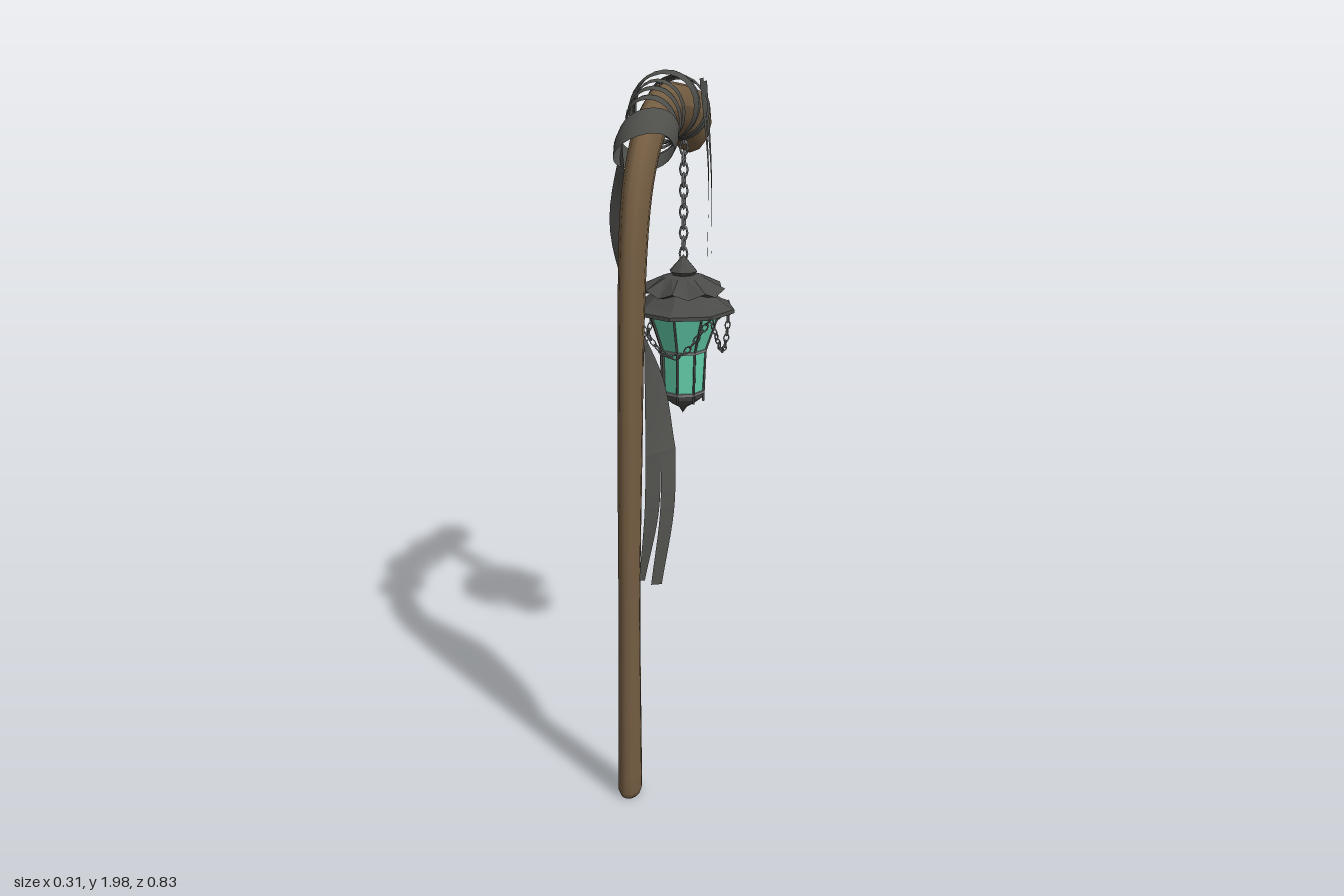
import * as THREE from 'three';
import { mergeGeometries } from 'three/addons/utils/BufferGeometryUtils.js';

const V = (x, y, z) => new THREE.Vector3(x, y, z);
const mat = (name, color, extra = {}) => {
  const m = new THREE.MeshStandardMaterial({ color, ...extra });
  m.name = name;
  return m;
};

// Staff centre line, and its half-widths: x = sideways, y = in the plane of the bend
const axis = new THREE.CatmullRomCurve3([
  V(0, 0, .367), V(0, .3, .365), V(0, .6, .36), V(0, 1, .343), V(0, 1.4, .32), V(0, 1.65, .28),
  V(0, 1.79, .2), V(-.003, 1.862, .09), V(-.006, 1.885, -.03), V(-.01, 1.87, -.16),
  V(-.013, 1.838, -.27), V(-.015, 1.81, -.35), V(-.02, 1.79, -.402)], false, 'catmullrom');
const radii = new THREE.CatmullRomCurve3([
  [.033, .046], [.031, .043], [.029, .04], [.031, .05], [.032, .06], [.036, .063], [.038, .06],
  [.04, .06], [.043, .062], [.05, .067], [.057, .085], [.058, .09], [.036, .05],
].map(([a, b]) => V(a, b, 0)), false, 'catmullrom');

// Point at angle a around the staff axis
function around(u, a, rx, rn) {
  const t = axis.getTangent(u);
  const n = V(0, -t.z, t.y).normalize();
  return axis.getPoint(u).addScaledVector(n, Math.sin(a) * rn).add(V(Math.cos(a) * rx, 0, 0));
}

// Surface through rows of points
function loft(rows) {
  const w = rows[0].length, index = [];
  for (let i = 0; i < rows.length - 1; i++)
    for (let j = 0; j < w - 1; j++) {
      const a = i * w + j, b = a + 1, c = a + w, d = c + 1;
      index.push(a, b, d, a, d, c);
    }
  const g = new THREE.BufferGeometry().setFromPoints(rows.flat());
  g.setIndex(index);
  g.computeVertexNormals();
  return g;
}

function staffGeometry() {
  const rows = [], sides = 12;
  const ring = (u, k) => {
    const r = radii.getPoint(u);
    rows.push(Array.from({ length: sides + 1 }, (_, j) =>
      around(u, -j / sides * Math.PI * 2, r.x * k, r.y * k)));
  };
  ring(0, 0); ring(0, .8); ring(.005, 1);
  for (let i = 1; i <= 48; i++) ring(i / 48, 1);
  ring(1, 0);
  return loft(rows);
}

// Strip of cloth wound round the staff from its underside; from, to and width count axis points
function wrapGeometry({ from, to, turns, width, tilt, rx, rn }) {
  const rows = [], n = Math.round(turns * 24);
  for (let i = 0; i <= n; i++) {
    const k = i / n, a = k * turns * Math.PI * 2 - Math.PI / 2;
    const mid = from + (to - from) * k + tilt * Math.cos(a);
    rows.push([-.5, 0, .5].map(s =>
      around((mid + s * width) / 12, a, rx + (s ? 0 : .005), rn + (s ? 0 : .005))));
  }
  return loft(rows);
}

// Loose strip from stations of [centre, half-width vector]
function ribbonGeometry(stations) {
  const edge = s => new THREE.CatmullRomCurve3(
    stations.map(([c, h]) => V(...c).addScaledVector(V(...h), s))).getPoints(stations.length * 5);
  const left = edge(-1), right = edge(1);
  return loft(left.map((p, i) => [p, right[i]]));
}

// Chain of alternating links along a curve
function chainGeometry(curve, count, r) {
  const links = [];
  for (let i = 0; i < count; i++) {
    const u = (i + .5) / count;
    const g = new THREE.TorusGeometry(r, r * .27, 4, 8);
    g.scale(.8, 1.35, 1);
    g.rotateY(i % 2 ? Math.PI / 2 : 0);
    g.applyQuaternion(new THREE.Quaternion().setFromUnitVectors(V(0, 1, 0), curve.getTangentAt(u)));
    g.translate(...curve.getPointAt(u).toArray());
    links.push(g);
  }
  return mergeGeometries(links);
}

function faceted(g) {
  const f = g.toNonIndexed();
  f.computeVertexNormals();
  return f;
}
const latheGeometry = (pts, sides = 8) =>
  new THREE.LatheGeometry(pts.map(([x, y]) => new THREE.Vector2(x, y)), sides);

function barGeometry(p, q, r) {
  const d = q.clone().sub(p);
  const g = new THREE.CylinderGeometry(r, r, d.length(), 5);
  g.applyQuaternion(new THREE.Quaternion().setFromUnitVectors(V(0, 1, 0), d.normalize()));
  const m = p.clone().add(q).multiplyScalar(.5);
  return g.translate(m.x, m.y, m.z);
}

export function createModel() {
  const wood = mat('brown wood', 0x745d42);
  const cloth = mat('dark cloth', 0x4e4f4b, { side: THREE.DoubleSide });
  const iron = mat('dark iron', 0x4a4a48);
  const steel = mat('chain steel', 0x7a7a7d);
  const glass = mat('green glass', 0x64d2ae);

  const model = new THREE.Group();
  model.name = 'staffWithLantern';
  const add = (parent, name, geometry, material) => {
    const m = new THREE.Mesh(geometry, material);
    m.name = name;
    parent.add(m);
  };

  add(model, 'staff', staffGeometry(), wood);

  // Cloth windings over the bend
  [
    { from: 6.2, to: 6.3, turns: 1, width: .55, tilt: .22, rx: .075, rn: .073 },
    { from: 6.6, to: 7.6, turns: 3, width: .17, tilt: .1, rx: .066, rn: .082 },
    { from: 7.8, to: 8.0, turns: 1, width: .6, tilt: .48, rx: .078, rn: .092 },
    { from: 8.85, to: 9.4, turns: 2, width: .24, tilt: .28, rx: .078, rn: .085 },
  ].forEach(w => add(model, 'clothWrap', wrapGeometry(w), cloth));

  // Long cloth trailing behind and round the staff, split in two tails
  add(model, 'longCloth', ribbonGeometry([
    [[-.06, 1.84, .19], [.01, 0, .045]], [[-.065, 1.6, .205], [.033, 0, .015]],
    [[-.015, 1.4, .235], [.03, 0, .036]], [[.05, 1.2, .285], [-.008, 0, .058]],
    [[.082, 1.03, .335], [-.028, 0, .045]]]), cloth);
  add(model, 'clothTail', ribbonGeometry([
    [[.068, 1.03, .3575], [-.014, 0, .0225]], [[.072, .88, .385], [-.016, 0, .013]],
    [[.052, .69, .412], [-.007, 0, .003]]]), cloth);
  add(model, 'clothTail', ribbonGeometry([
    [[.096, 1.03, .3125], [-.014, 0, .0225]], [[.106, .88, .355], [-.015, 0, .016]],
    [[.09, .68, .405], [-.013, 0, .006]]]), cloth);

  // Two short strips hanging beside the lantern chain
  add(model, 'hangingStrip', ribbonGeometry([
    [[.06, 1.95, -.16], [0, 0, .022]], [[.079, 1.7, -.172], [.003, 0, .018]],
    [[.077, 1.45, -.177], [.004, 0, .013]]]), cloth);
  add(model, 'hangingStrip', ribbonGeometry([
    [[.06, 1.94, -.2], [0, 0, .022]], [[.077, 1.7, -.212], [.003, 0, .019]],
    [[.075, 1.45, -.238], [.004, 0, .015]]]), cloth);

  // Lantern, built about its own vertical axis
  const lantern = new THREE.Group();
  lantern.name = 'lantern';
  lantern.position.z = -.2;
  model.add(lantern);

  add(lantern, 'glassPanes', faceted(latheGeometry(
    [[0, 1.03], [.06, 1.03], [.068, 1.165], [.108, 1.28]])), glass);
  add(lantern, 'lowerRoof', faceted(latheGeometry(
    [[0, 1.277], [.112, 1.277], [.155, 1.283], [.154, 1.294], [.128, 1.305], [.07, 1.35], [0, 1.36]])), iron);

  // Upper roof: an octagon with upturned corners, and a pointed finial
  const roof = latheGeometry([[0, 1.322], [.126, 1.354], [.06, 1.385], [.034, 1.39], [.042, 1.4], [0, 1.448]], 16);
  const pos = roof.attributes.position, flat = Math.cos(Math.PI / 8);
  for (let i = 0; i < pos.count; i++)
    if (Math.floor(i / 6) % 2)
      pos.setXYZ(i, pos.getX(i) * flat, pos.getY(i) - (i % 6 === 1 ? .018 : 0), pos.getZ(i) * flat);
  add(lantern, 'upperRoof', faceted(roof), iron);

  add(lantern, 'bottomCap', faceted(latheGeometry(
    [[0, .965], [.013, .985], [.035, .998], [.06, 1.018], [.065, 1.036], [0, 1.036]])), iron);

  // Glazing bars and rings
  const bars = [];
  for (let i = 0; i < 8; i++) {
    const a = i * Math.PI / 4, at = (r, y) => V(Math.sin(a) * r, y, Math.cos(a) * r);
    bars.push(barGeometry(at(.109, 1.282), at(.069, 1.165), .0038),
      barGeometry(at(.069, 1.168), at(.063, 1.008), .0038));
  }
  add(lantern, 'glazingBars', mergeGeometries(bars), iron);
  for (const [r, y] of [[.069, 1.165], [.063, 1.036]])
    add(lantern, 'glazingRing', faceted(latheGeometry([[r - .006, y - .004], [r + .004, y - .004],
      [r + .004, y + .004], [r - .006, y + .004], [r - .006, y - .004]])), steel);

  // Chain to the staff and four swags below the roof rim
  add(lantern, 'hangingChain', chainGeometry(
    new THREE.LineCurve3(V(0, 1.435, 0), V(0, 1.8, 0)), 12, .0145), steel);
  for (let i = 0; i < 4; i++) {
    const pts = [];
    for (let k = -4; k <= 4; k++) {
      const s = k / 4, a = i * Math.PI / 2 + s * Math.PI / 4, r = .122 + .034 * s * s;
      pts.push(V(Math.sin(a) * r, 1.17 + .12 * s * s, Math.cos(a) * r));
    }
    add(lantern, 'chainSwag', chainGeometry(new THREE.CatmullRomCurve3(pts), 16, .0095), steel);
  }
  return model;
}
